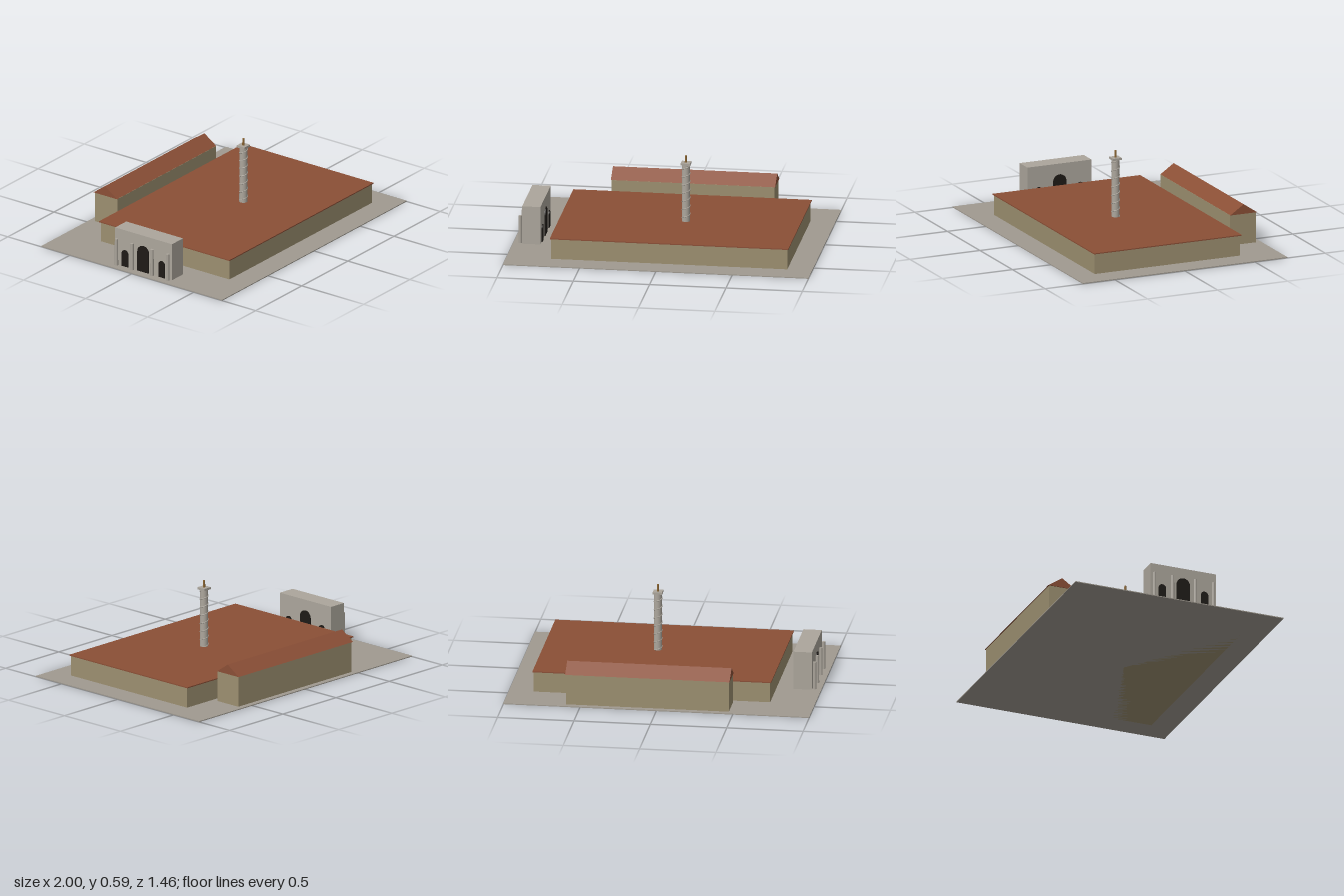
import * as THREE from 'three';

const mat = (color) => new THREE.MeshStandardMaterial({ color });

export function createModel() {
  const model = new THREE.Group();
  const paving = mat(0xa09a90), wall = mat(0x9c8f70), roof = mat(0x8b4f36);
  const stone = mat(0xaca69c), dark = mat(0x1e1a16), bronze = mat(0x8a6532);

  const add = (name, geometry, material, x = 0, y = 0, z = 0) => {
    const mesh = new THREE.Mesh(geometry, material);
    mesh.name = name;
    mesh.position.set(x, y, z);
    model.add(mesh);
    return mesh;
  };
  // Box given by its extents on each axis
  const box = (name, material, x0, x1, y0, y1, z0, z1) =>
    add(name, new THREE.BoxGeometry(x1 - x0, y1 - y0, z1 - z0), material,
      (x0 + x1) / 2, (y0 + y1) / 2, (z0 + z1) / 2);

  // Paved ground and the broad main hall
  box('ground', paving, -1, 1, 0, 0.006, -0.73, 0.73);
  box('hallWalls', wall, -0.708, 0.838, 0, 0.14, -0.467, 0.57);
  box('hallRoof', roof, -0.715, 0.845, 0.14, 0.147, -0.476, 0.577);

  // Long rear building with a gabled roof
  box('rearWalls', wall, -0.47, 0.595, 0, 0.21, -0.693, -0.508);
  const gable = new THREE.Shape();
  gable.moveTo(-0.096, 0);
  gable.lineTo(0.096, 0);
  gable.lineTo(0, 0.065);
  gable.closePath();
  const gableRoof = new THREE.ExtrudeGeometry(gable, { depth: 1.075, bevelEnabled: false });
  gableRoof.rotateY(Math.PI / 2);
  add('rearRoof', gableRoof, roof, -0.475, 0.209, -0.604);

  // Triumphal gate: block, dark arched openings on both faces
  box('gateBlock', stone, -0.94, -0.82, 0, 0.26, -0.178, 0.28);
  const archway = (name, z, width, height) => {
    const r = width / 2;
    const s = new THREE.Shape();
    s.moveTo(-r, 0);
    s.lineTo(r, 0);
    s.lineTo(r, height - r);
    s.absarc(0, height - r, r, 0, Math.PI, false);
    s.closePath();
    const g = new THREE.ExtrudeGeometry(s, { depth: 0.132, bevelEnabled: false, curveSegments: 10 });
    g.rotateY(Math.PI / 2);
    add(name, g, dark, -0.946, 0.002, z);
  };
  archway('centralArch', 0.05, 0.092, 0.186);
  archway('sideArch', -0.097, 0.05, 0.118);
  archway('sideArch', 0.199, 0.05, 0.118);

  // Detached columns along the outer face of the gate
  for (const z of [-0.157, -0.03, 0.13, 0.257]) {
    add('gateColumn', new THREE.CylinderGeometry(0.011, 0.012, 0.188, 8), stone, -0.955, 0.096, z);
  }

  // Monumental column with a spiral relief, capital and statue
  const cx = 0.103, cz = 0.08;
  box('columnPedestal', stone, cx - 0.04, cx + 0.04, 0, 0.08, cz - 0.04, cz + 0.04);
  add('columnShaft', new THREE.CylinderGeometry(0.0255, 0.0275, 0.455, 20), stone, cx, 0.3075, cz);
  const points = [];
  const turns = 8;
  for (let i = 0; i <= turns * 16; i++) {
    const t = i / (turns * 16), a = t * turns * Math.PI * 2;
    points.push(new THREE.Vector3(Math.cos(a) * 0.0265, 0.085 + t * 0.44, -Math.sin(a) * 0.0265));
  }
  const helix = new THREE.CatmullRomCurve3(points);
  add('spiralRelief', new THREE.TubeGeometry(helix, turns * 24, 0.0035, 6), stone, cx, 0, cz);
  box('columnCapital', stone, cx - 0.031, cx + 0.031, 0.53, 0.544, cz - 0.031, cz + 0.031);
  add('statue', new THREE.CylinderGeometry(0.007, 0.008, 0.047, 8), bronze, cx, 0.567, cz);

  return model;
}
